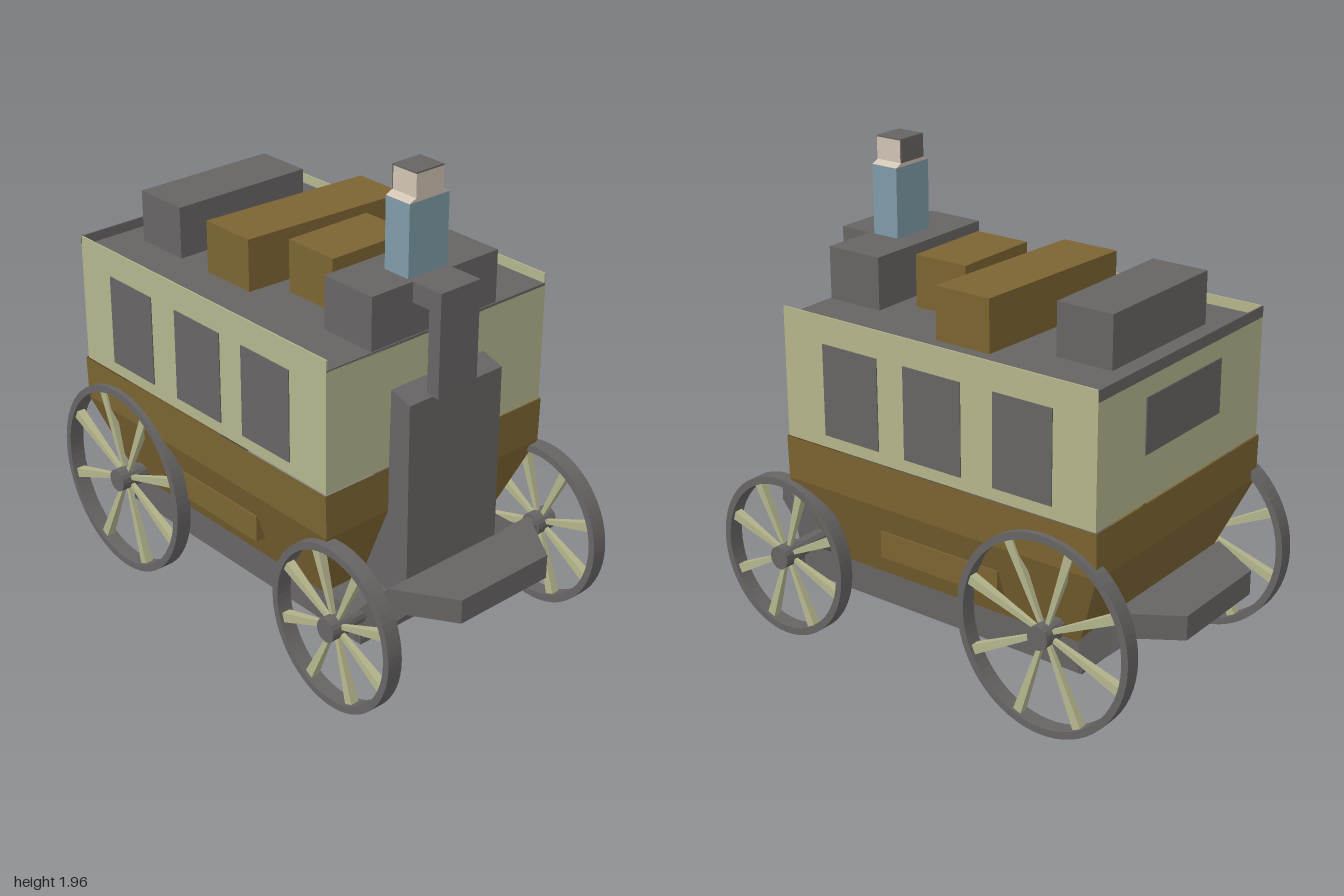
import * as THREE from 'three';

const material = (name, color) => {
  const m = new THREE.MeshStandardMaterial({ color, side: THREE.DoubleSide, flatShading: true });
  m.name = name;
  return m;
};

// Joins four-cornered rings into a flat-faced skin, with optional end caps
function loft(rings, caps = false) {
  const pos = [];
  const quad = (a, b, c, d) => [a, b, c, a, c, d].forEach(p => pos.push(...p));
  for (let r = 0; r < rings.length - 1; r++) {
    for (let i = 0; i < 4; i++) {
      const j = (i + 1) % 4;
      quad(rings[r][i], rings[r][j], rings[r + 1][j], rings[r + 1][i]);
    }
  }
  if (caps) {
    const [a, b, c, d] = rings[0];
    quad(d, c, b, a);
    quad(...rings[rings.length - 1]);
  }
  const g = new THREE.BufferGeometry();
  g.setAttribute('position', new THREE.Float32BufferAttribute(pos, 3));
  g.computeVertexNormals();
  return g;
}

const levelRing = (y, x, z0, z1) => [[x, y, z1], [x, y, z0], [-x, y, z0], [-x, y, z1]];
const uprightRing = (z, x, y0, y1) => [[x, y0, z], [x, y1, z], [-x, y1, z], [-x, y0, z]];

export function createModel() {
  const cream = material('cream paint', 0xb4b58c);
  const brown = material('brown wood', 0x7c6432);
  const grey = material('dark grey', 0x676564);
  const blue = material('blue coat', 0x7f9ba8);
  const skin = material('skin', 0xd0c3b3);
  const model = new THREE.Group();
  model.name = 'stagecoach';

  const add = (name, geometry, mat, parent = model) => {
    const m = new THREE.Mesh(geometry, mat);
    m.name = name;
    parent.add(m);
    return m;
  };
  // Box given by its limits
  const box = (name, mat, x0, x1, y0, y1, z0, z1, parent = model) => {
    const m = add(name, new THREE.BoxGeometry(x1 - x0, y1 - y0, z1 - z0), mat, parent);
    m.position.set((x0 + x1) / 2, (y0 + y1) / 2, (z0 + z1) / 2);
    return m;
  };

  // Coach body, open underneath
  add('lowerBody', loft([
    levelRing(0.36, 0.44, -0.68, 0.5),
    levelRing(0.7, 0.55, -0.82, 0.635),
    levelRing(0.88, 0.555, -0.82, 0.635),
  ]), brown);
  add('upperBody', loft([levelRing(0.88, 0.548, -0.812, 0.63), levelRing(1.365, 0.548, -0.812, 0.63)]), cream);
  box('roof', grey, -0.546, 0.546, 1.36, 1.37, -0.81, 0.63);
  box('rearRoofRail', grey, -0.548, 0.548, 1.365, 1.41, -0.814, -0.808);
  box('rearWindow', grey, -0.25, 0.25, 1.07, 1.29, -0.817, -0.811);

  // Chassis frame
  add('chassisFrame', loft([levelRing(0.23, 0.44, -0.69, 0.7), levelRing(0.36, 0.44, -0.69, 0.7)]), grey);
  box('frontFloor', grey, -0.44, 0.44, 0.235, 0.25, 0.3, 0.7);

  // Footboards at both ends
  for (const s of [1, -1]) {
    const board = add(s > 0 ? 'frontFootboard' : 'rearFootboard', loft([
      uprightRing(0.68, 0.45, 0.235, 0.37),
      uprightRing(0.77, 0.37, 0.31, 0.48),
      uprightRing(0.83, 0.335, 0.38, 0.48),
      uprightRing(1, 0.225, 0.38, 0.48),
    ], true), grey);
    board.scale.z = s;
  }

  // Front boot
  const boot = new THREE.Shape([
    [0.5, 0.36], [0.74, 0.36], [0.735, 1.17], [0.64, 1.2], [0.632, 0.7],
  ].map(([z, y]) => new THREE.Vector2(-z, y)));
  const bootMesh = add('frontBoot', new THREE.ExtrudeGeometry(boot, { depth: 0.465, bevelEnabled: false }), grey);
  bootMesh.rotation.y = Math.PI / 2;
  bootMesh.position.x = -0.25;

  // Wheel in its own plane, axis along x after turning
  function wheel(name, r, ry, y, z, parent) {
    const g = new THREE.Group();
    g.name = name;
    const ring = new THREE.Shape().absarc(0, 0, r, 0, Math.PI * 2);
    ring.holes.push(new THREE.Path().absarc(0, 0, r - 0.028, 0, Math.PI * 2, true));
    add('rim', new THREE.ExtrudeGeometry(ring, { depth: 0.065, bevelEnabled: false, curveSegments: 32 }), grey, g)
      .position.z = -0.0325;
    add('hub', new THREE.CylinderGeometry(0.045, 0.045, 0.1, 16), grey, g).rotation.x = Math.PI / 2;
    for (let i = 0; i < 8; i++) {
      const a = 0.46 + i * Math.PI / 4;
      const len = r - 0.05;
      const geo = new THREE.CylinderGeometry(0.026, 0.011, len, 4).rotateY(Math.PI / 4);
      const spoke = add('spoke', geo, cream, g);
      spoke.position.set(Math.cos(a) * (0.03 + len / 2), Math.sin(a) * (0.03 + len / 2), 0);
      spoke.rotation.z = a - Math.PI / 2;
    }
    g.scale.y = ry / r;
    g.rotation.y = Math.PI / 2;
    g.position.set(0.543, y, z);
    parent.add(g);
    // Axle stub
    const axle = add('axle', new THREE.CylinderGeometry(0.036, 0.036, 0.2, 12), grey, parent);
    axle.rotation.z = Math.PI / 2;
    axle.position.set(0.45, y, z);
  }

  // Parts repeated on both sides
  for (const s of [1, -1]) {
    const side = new THREE.Group();
    side.name = s > 0 ? 'leftSide' : 'rightSide';
    side.scale.x = s;
    box('sideRoofRail', cream, 0.542, 0.548, 1.365, 1.41, -0.812, 0.63, side);
    for (const [z0, z1] of [[0.17, 0.435], [-0.22, 0.045], [-0.625, -0.365]]) {
      box('sideWindow', grey, 0.547, 0.552, 0.93, 1.3, z0, z1, side);
    }
    box('sideStep', brown, 0.46, 0.517, 0.47, 0.58, -0.36, 0.2, side);
    wheel('rearWheel', 0.38, 0.405, 0.415, -0.597, side);
    wheel('frontWheel', 0.315, 0.34, 0.35, 0.675, side);
    model.add(side);
  }

  // Roof luggage and driver's bench
  box('driverBench', grey, -0.335, 0.285, 1.37, 1.58, 0.38, 0.625);
  box('rearTrunk', grey, -0.335, 0.285, 1.37, 1.58, -0.69, -0.45);
  box('smallTrunk', brown, -0.22, 0.165, 1.37, 1.58, 0.055, 0.295);
  const slanted = y => [[0.41, y, 0], [0.41, y, -0.245], [-0.335, y, -0.285], [-0.335, y, -0.04]];
  add('longTrunk', loft([slanted(1.37), slanted(1.58)], true), brown);

  // Driver
  box('driverShins', grey, -0.14, 0.052, 1.17, 1.58, 0.708, 0.765);
  box('driverThighs', grey, -0.14, 0.052, 1.5, 1.58, 0.6, 0.708);
  box('driverTorso', blue, -0.14, 0.052, 1.58, 1.86, 0.48, 0.6);
  const rect = (y, x0, x1) => [[x1, y, 0.6], [x1, y, 0.48], [x0, y, 0.48], [x0, y, 0.6]];
  add('driverNeck', loft([rect(1.86, -0.14, 0.052), rect(1.875, -0.11, 0.022)], true), skin);
  box('driverHead', skin, -0.11, 0.022, 1.87, 1.963, 0.484, 0.6);
  box('driverHairTop', grey, -0.11, 0.022, 1.963, 1.969, 0.48, 0.6);
  box('driverHairBack', grey, -0.11, 0.022, 1.875, 1.965, 0.478, 0.484);

  return model;
}
